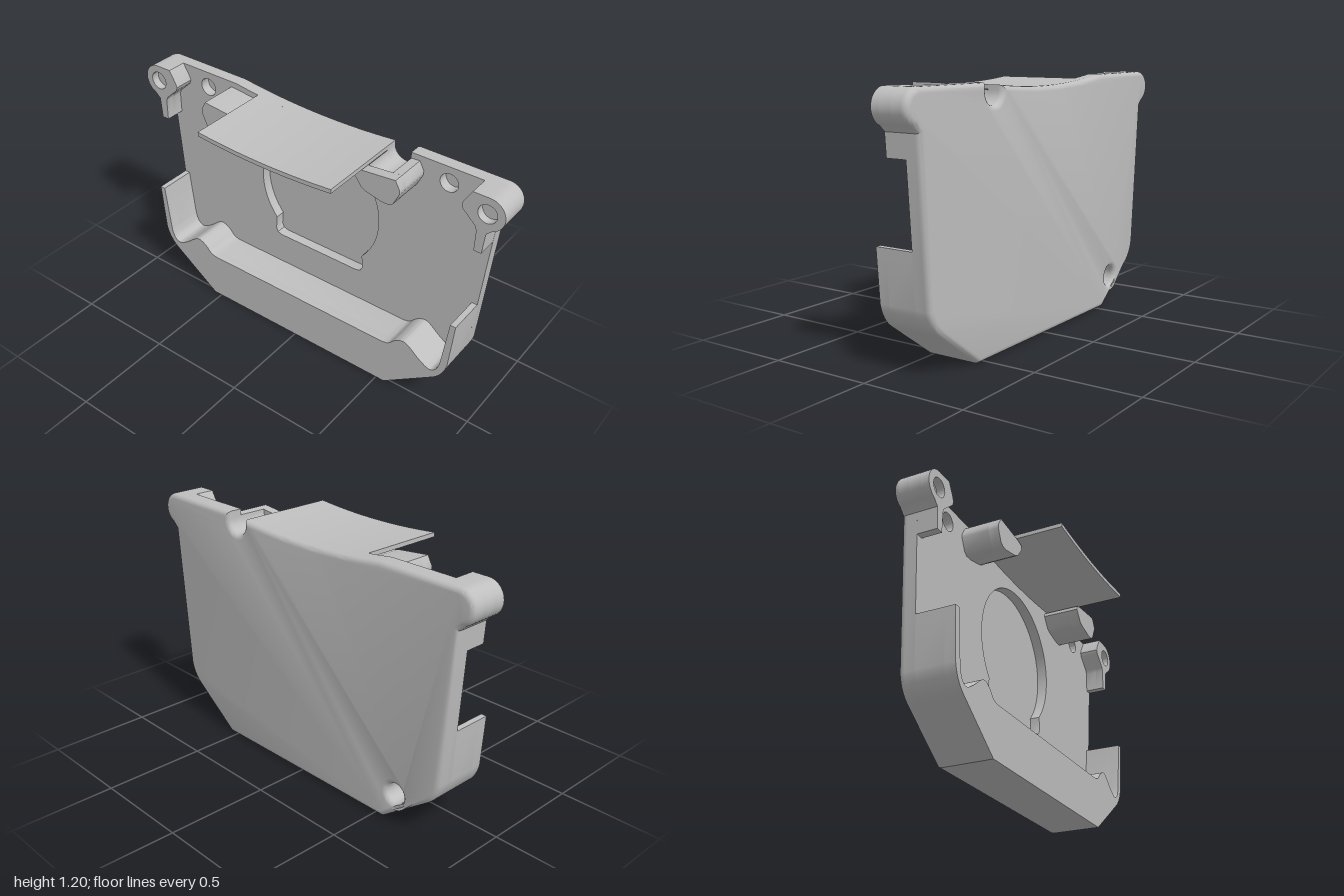
import * as THREE from 'three';
import { toCreasedNormals } from 'three/addons/utils/BufferGeometryUtils.js';

const V = (x, y) => new THREE.Vector2(x, y);
const pts = (list) => list.map(([x, y]) => V(x, y));
const mirror = (list) => list.map((p) => V(-p.x, p.y)).reverse();

// points along a circular arc, angles in degrees
function arc(cx, cy, r, a0, a1, n = 16) {
  return Array.from({ length: n + 1 }, (_, i) => {
    const a = THREE.MathUtils.degToRad(a0 + ((a1 - a0) * i) / n);
    return V(cx + r * Math.cos(a), cy + r * Math.sin(a));
  });
}
const circle = (x, y, r) => new THREE.Path().absarc(x, y, r, 0, Math.PI * 2, true);

// concave top edge shared by the plate and the shelf
const topY = (x) => Math.min(1.2, 1.165 + 0.139 * x * x);
const topEdge = (x0, x1, n = 20, drop = 0) => Array.from({ length: n + 1 }, (_, i) => {
  const x = x0 + ((x1 - x0) * i) / n;
  return V(x, topY(x) - drop);
});

export function createModel() {
  const group = new THREE.Group();
  const grey = new THREE.MeshStandardMaterial({ color: 0xbfbfbf });
  grey.name = 'grey plastic';

  const add = (name, geometry) => {
    const mesh = new THREE.Mesh(toCreasedNormals(geometry, 0.6), grey);
    mesh.name = name;
    group.add(mesh);
  };
  // straight slab of an outline between two depths
  const slab = (name, outline, z0, z1, holes = []) => {
    const shape = new THREE.Shape(outline);
    shape.holes.push(...holes);
    const g = new THREE.ExtrudeGeometry(shape, { depth: z1 - z0, bevelEnabled: false, curveSegments: 32 });
    add(name, g.translate(0, 0, z0));
  };

  // outline pieces of the +x side
  const lowerCorner = [
    V(0.545, 0),
    ...new THREE.QuadraticBezierCurve(V(0.8, 0.185), V(0.855, 0.225), V(0.87, 0.3)).getPoints(8),
  ];
  const earArc = arc(0.92, 1.12, 0.08, -68, 90);
  const side = [...lowerCorner, V(0.923, 1.02), ...earArc];
  const notch = arc(0.425, 1.16, 0.06, 0, -180, 14);

  const plate = [
    ...side,
    V(0.485, 1.198), ...notch, V(0.365, topY(0.365)),
    ...topEdge(0.34, -0.5),
    ...mirror(side),
  ];
  const drain = () => circle(-0.62, 0.15, 0.05);

  // back skin: rounded behind, flat in front
  const skinShape = new THREE.Shape(plate);
  skinShape.holes.push(drain());
  const skin = new THREE.ExtrudeGeometry(skinShape, {
    depth: 0.005, bevelSize: 0.025, bevelThickness: 0.025, bevelOffset: -0.025, bevelSegments: 4, curveSegments: 24,
  }).translate(0, 0, -0.225);
  // the bevelled sizes start from the full outline, so only the front needs flattening
  const pos = skin.attributes.position;
  for (let i = 0; i < pos.count; i++) pos.setZ(i, Math.min(pos.getZ(i), -0.22));
  skin.computeVertexNormals();
  add('backSkin', skin);

  // front layer of the plate with the keyhole recess and two shallow bores
  const recess = new THREE.Path([
    ...arc(0, 0.745, 0.344, -40.9, 220.9, 56),
    ...pts([[-0.265, 0.45], [-0.255, 0.428], [-0.23, 0.42], [0.23, 0.42], [0.255, 0.428], [0.265, 0.45]]),
  ]);
  slab('plateFront', plate, -0.22, -0.17,
    [recess, drain(), circle(0.68, 1.12, 0.045), circle(-0.68, 1.12, 0.045)]);

  // bottom tray with thin side walls and a wavy upper edge
  const wave = [
    V(0.888, 0.545), V(0.86, 0.545),
    ...new THREE.SplineCurve(pts([
      [0.832, 0.29], [0.815, 0.245], [0.78, 0.226], [0.725, 0.255],
      [0.665, 0.303], [0.63, 0.314], [0.59, 0.295], [0.555, 0.26], [0.52, 0.25],
    ])).getPoints(40),
  ];
  const half = [...lowerCorner, ...wave];
  const tray = [...half, ...mirror(half)];
  slab('trayBack', tray, -0.17, -0.03, [drain()]);
  slab('trayFront', tray, -0.03, 0.02);

  // hinge ears with a short tail and a blind bore
  const ear = [
    V(0.915, 0.915), V(0.923, 1.02), ...earArc,
    ...pts([[0.84, 1.2], [0.805, 1.14], [0.798, 1.12], [0.805, 1.1], [0.87, 1.04], [0.878, 1.02], [0.878, 0.915]]),
  ];
  // support lugs under the shelf; the left one carries the notch channel
  const lugLower = pts([
    [0.36, 1.155], [0.325, 1.145], [0.32, 1.125], [0.36, 1.07], [0.385, 1.057],
    [0.47, 1.037], [0.505, 1.037], [0.525, 1.05], [0.553, 1.11], [0.553, 1.13], [0.53, 1.172],
  ]);
  const notchedLug = [...lugLower, V(0.486, 1.168), ...notch];
  for (const s of [1, -1]) {
    const flip = (list) => (s > 0 ? list : mirror(list));
    const word = s > 0 ? 'left' : 'right';
    slab(`${word}EarBase`, flip(ear), -0.17, -0.11);
    slab(`${word}EarFace`, flip(ear), -0.11, -0.07, [circle(s * 0.918, 1.12, 0.045)]);
    slab(`${word}LugBase`, s > 0 ? notchedLug : mirror(lugLower), -0.17, -0.03);
    slab(`${word}LugFace`, flip(lugLower), -0.03, 0.02);
  }

  // curved shelf reaching forward from the top edge
  slab('shelf', [...topEdge(0.365, -0.365, 24), ...topEdge(-0.365, 0.365, 24, 0.021)], -0.17, 0.25);

  return group;
}
